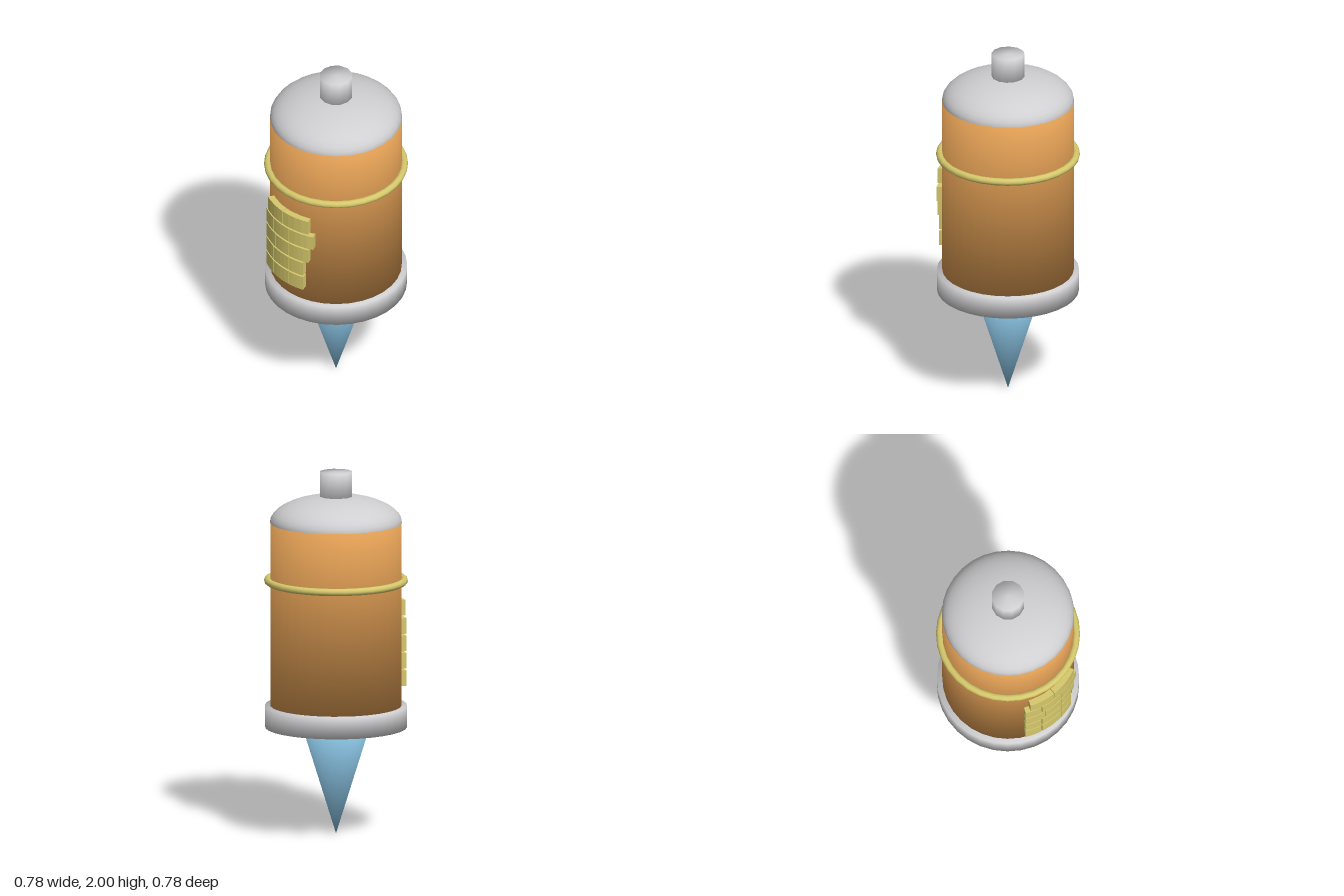
import * as THREE from 'three';
import { mergeVertices } from 'three/addons/utils/BufferGeometryUtils.js';

const mat = (name, color) => {
  const m = new THREE.MeshStandardMaterial({ color });
  m.name = name;
  return m;
};

// Closed drum or cone between two heights, with normals blended softly over its rims.
function softDrum(rTop, rBottom, y0, y1, sides) {
  let g = new THREE.CylinderGeometry(rTop, rBottom, y1 - y0, sides);
  g.deleteAttribute('uv');
  g.deleteAttribute('normal');
  g = mergeVertices(g, 1e-5);
  const p = g.attributes.position;
  const normals = new Float32Array(p.count * 3);
  const n = new THREE.Vector3();
  for (let i = 0; i < p.count; i++) {
    n.set(p.getX(i), 0, p.getZ(i));
    if (n.length() < 1e-4) n.set(0, 0, 0);
    else n.normalize();
    n.y = Math.sign(p.getY(i));
    n.normalize().toArray(normals, i * 3);
  }
  g.setAttribute('normal', new THREE.BufferAttribute(normals, 3));
  return g.translate(0, (y0 + y1) / 2, 0);
}

// Curved brick that follows the drum between two x positions.
function brick(x0, x1, y0, height) {
  const inner = 0.352, outer = 0.392, gap = 0.002, steps = 4;
  const a0 = Math.asin((x0 + gap) / outer), a1 = Math.asin((x1 - gap) / outer);
  const points = [];
  for (let i = 0; i <= steps; i++) {
    const a = a0 + (a1 - a0) * i / steps;
    points.push(new THREE.Vector2(outer * Math.sin(a), -outer * Math.cos(a)));
  }
  for (let i = steps; i >= 0; i--) {
    const a = a0 + (a1 - a0) * i / steps;
    points.push(new THREE.Vector2(inner * Math.sin(a), -inner * Math.cos(a)));
  }
  const g = new THREE.ExtrudeGeometry(new THREE.Shape(points), { depth: height, bevelEnabled: false });
  return g.rotateX(-Math.PI / 2).translate(0, y0, 0);
}

export function createModel() {
  const model = new THREE.Group();
  model.name = 'spikedCanister';
  const grey = mat('light grey', 0xcfcfd1);
  const orange = mat('orange', 0xdc9b52);
  const yellow = mat('yellow', 0xd6c96c);
  const blue = mat('light blue', 0x85bddc);

  const add = (name, geometry, material, parent = model) => {
    const mesh = new THREE.Mesh(geometry, material);
    mesh.name = name;
    parent.add(mesh);
    return mesh;
  };

  // Main column from the tip up
  add('spike', softDrum(0.19, 0, 0, 0.61, 32), blue);
  add('baseDisc', softDrum(0.387, 0.387, 0.59, 0.71, 32), grey);
  add('body', softDrum(0.358, 0.358, 0.70, 1.72, 32), orange);
  const dome = new THREE.SphereGeometry(0.36, 32, 10, 0, Math.PI * 2, 0, Math.PI / 2);
  add('dome', dome.scale(1, 0.15 / 0.36, 1).translate(0, 1.72, 0), grey);
  add('cap', softDrum(0.09, 0.09, 1.82, 2, 12), grey);

  // Band around the body
  const band = new THREE.TorusGeometry(0.372, 0.02, 10, 32);
  add('band', band.rotateX(Math.PI / 2).translate(0, 1.4, 0), yellow);

  // Brick patch on the front: joint positions for each row, bottom to top
  const rows = [
    [-0.2, -0.11, 0.02, 0.115],
    [-0.2, -0.11, 0.02, 0.115],
    [-0.2, -0.09, 0.02, 0.145],
    [-0.2, -0.11, 0.02, 0.172],
    [-0.175, -0.03, 0.145],
  ];
  const patch = new THREE.Group();
  patch.name = 'brickPatch';
  model.add(patch);
  rows.forEach((joints, r) => {
    for (let i = 0; i + 1 < joints.length; i++) {
      add('brick', brick(joints[i], joints[i + 1], 0.8 + r * 0.0965, 0.086), yellow, patch);
    }
  });
  return model;
}
